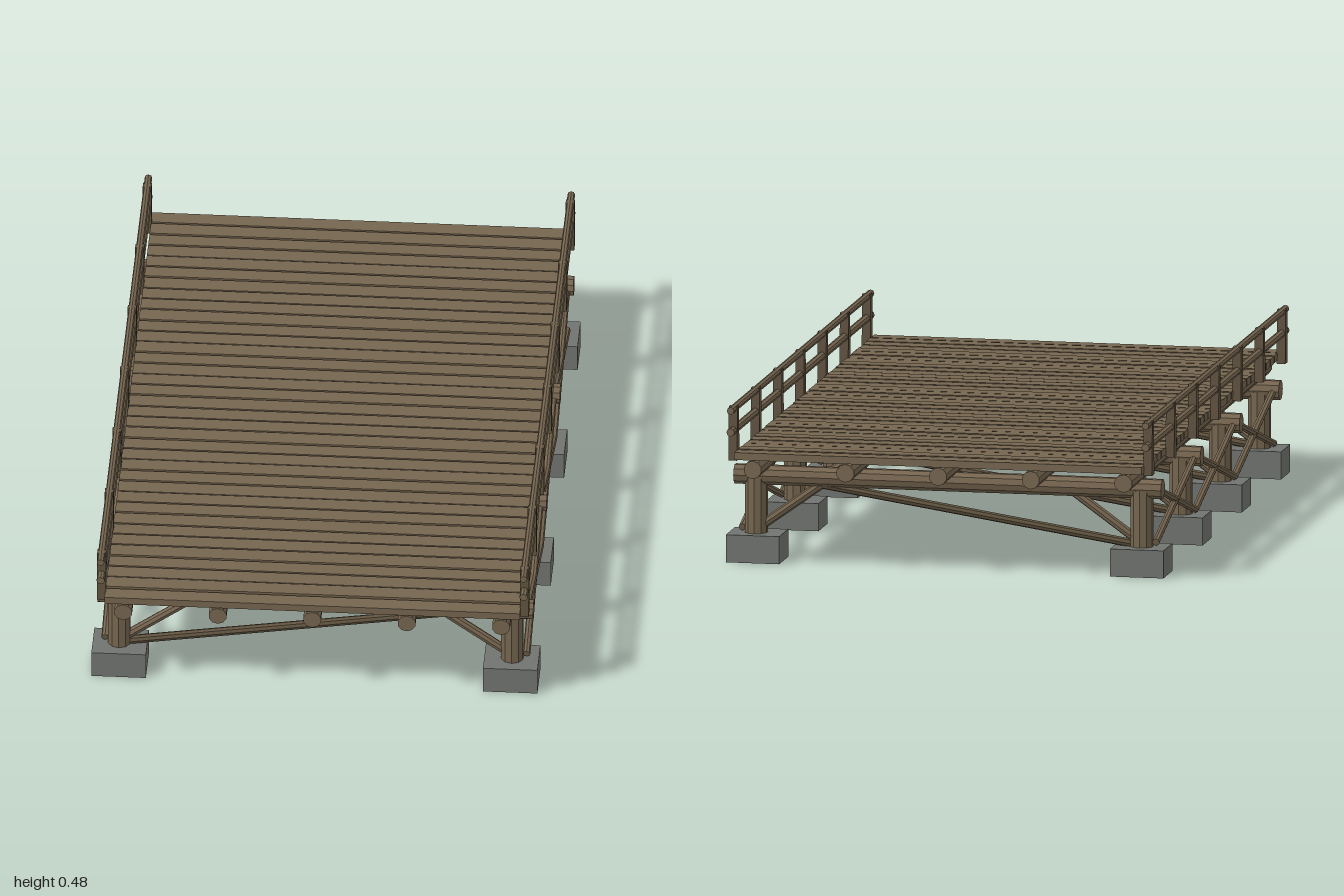
import * as THREE from 'three';

const wood = new THREE.MeshStandardMaterial({ color: 0x75654f, flatShading: true });
const darkWood = new THREE.MeshStandardMaterial({ color: 0x5f523f, flatShading: true });
const concrete = new THREE.MeshStandardMaterial({ color: 0x70736f, flatShading: true });

const V = (x, y, z) => new THREE.Vector3(x, y, z);

function add(parent, name, geometry, material, position) {
  const mesh = new THREE.Mesh(geometry, material);
  mesh.name = name;
  if (position) mesh.position.copy(position);
  parent.add(mesh);
  return mesh;
}

// Round timber running from a to b
function log(parent, name, a, b, radius, material = wood, sides = 10) {
  const dir = b.clone().sub(a);
  const geo = new THREE.CylinderGeometry(radius, radius, dir.length(), sides);
  const mesh = add(parent, name, geo, material, a.clone().add(b).multiplyScalar(0.5));
  mesh.quaternion.setFromUnitVectors(V(0, 1, 0), dir.normalize());
  return mesh;
}

function group(parent, name) {
  const g = new THREE.Group();
  g.name = name;
  parent.add(g);
  return g;
}

export function createModel() {
  const model = new THREE.Group();
  model.name = 'timberBridge';

  // Support frames: footings, posts, cap beam and diagonal braces
  const bents = [-0.84, -0.28, 0.28, 0.84];
  for (const z of bents) {
    const bent = group(model, 'supportFrame');
    log(bent, 'capBeam', V(-0.64, 0.254, z), V(0.64, 0.254, z), 0.03);
    log(bent, 'longBrace', V(-0.56, 0.088, z), V(0.4, 0.234, z), 0.013, darkWood, 8);
    for (const s of [-1, 1]) {
      add(bent, 'footing', new THREE.BoxGeometry(0.16, 0.082, 0.13), concrete, V(s * 0.575, 0.041, z));
      log(bent, 'post', V(s * 0.577, 0.07, z), V(s * 0.577, 0.25, z), 0.034);
      log(bent, 'kneeBrace', V(s * 0.565, 0.1, z), V(s * 0.37, 0.24, z), 0.014, wood, 8);
    }
  }

  // Crossed braces along both sides
  for (const s of [-1, 1]) {
    const bracing = group(model, 'sideBracing');
    for (let i = 0; i < bents.length - 1; i++) {
      const x = s * 0.619;
      log(bracing, 'crossBrace', V(x, 0.095, bents[i]), V(x, 0.255, bents[i + 1]), 0.011, wood, 8);
      log(bracing, 'crossBrace', V(x, 0.255, bents[i]), V(x, 0.095, bents[i + 1]), 0.011, wood, 8);
    }
  }

  // Lengthwise logs under the deck
  for (let i = -2; i <= 2; i++) {
    log(model, 'stringer', V(i * 0.2775, 0.295, -1), V(i * 0.2775, 0.295, 1), 0.027);
  }

  // Deck planks, with slightly uneven gaps
  const deck = group(model, 'deck');
  const count = 36, pitch = 2 / count;
  for (let i = 0; i < count; i++) {
    const width = pitch - 0.006 + 0.002 * Math.sin(i * 2.3);
    const edge = i === 0 ? 0.003 : i === count - 1 ? -0.003 : 0;
    add(deck, 'plank', new THREE.BoxGeometry(1.22, 0.022, width), wood,
      V(0, 0.334 + 0.001 * Math.sin(i * 1.7), -1 + (i + 0.5) * pitch - edge));
  }

  // Railings: tapered posts with two rails
  const postGeo = new THREE.BoxGeometry(0.026, 0.16, 0.022);
  const p = postGeo.attributes.position;
  for (let i = 0; i < p.count; i++) {
    if (p.getY(i) < 0) p.setZ(i, p.getZ(i) * 1.6);
  }
  postGeo.computeVertexNormals();
  for (const s of [-1, 1]) {
    const railing = group(model, 'railing');
    const x = s * 0.621;
    for (let i = -3; i <= 3; i++) {
      add(railing, 'railPost', postGeo, darkWood, V(x, 0.395, i * 0.317));
    }
    log(railing, 'topRail', V(x, 0.468, -1), V(x, 0.468, 1), 0.011, wood, 8);
    log(railing, 'lowerRail', V(x, 0.404, -1), V(x, 0.404, 1), 0.012, wood, 8);
  }

  return model;
}
